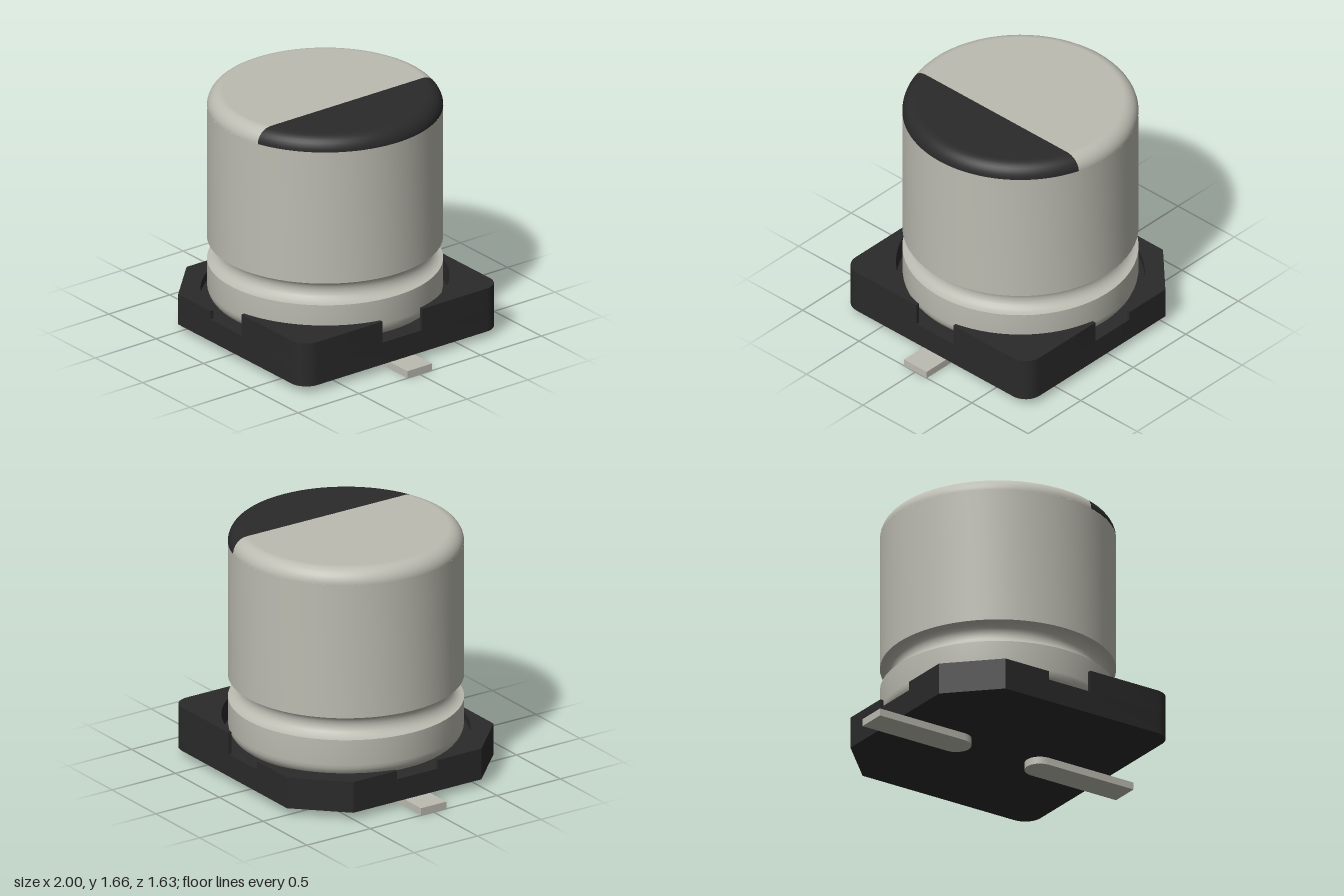
import * as THREE from 'three';
import { toCreasedNormals } from 'three/addons/utils/BufferGeometryUtils.js';
import { ParametricGeometry } from 'three/addons/geometries/ParametricGeometry.js';

const SILVER = new THREE.MeshStandardMaterial({ color: 0xbdbcb2 });
const DARK = new THREE.MeshStandardMaterial({ color: 0x2a2a2a });

const R = 0.767, FILLET = 0.1, TOP = 1.665;   // can
const HALF = 0.815, CHAMFER = 0.31, CORNER = 0.12; // base outline
const FLOOR = 0.205, HOLE = 0.808, NOTCH = 0.163;  // base recess
const MARK_X = 0.23;                           // edge of the polarity mark

function add(parent, name, geometry, material) {
  const mesh = new THREE.Mesh(geometry, material);
  mesh.name = name;
  parent.add(mesh);
}

// Points on an arc, angles in radians
function arc(cx, cy, r, from, to, steps) {
  return Array.from({ length: steps + 1 }, (_, i) => {
    const a = from + (to - from) * i / steps;
    return new THREE.Vector2(cx + r * Math.cos(a), cy + r * Math.sin(a));
  });
}

// Flat plan (x, z) raised from y0 to y1
function slab(points, y0, y1) {
  const g = new THREE.ExtrudeGeometry(new THREE.Shape(points), { depth: y1 - y0, bevelEnabled: false });
  g.rotateX(-Math.PI / 2);
  g.translate(0, y0, 0);
  return toCreasedNormals(g, 0.6);
}

// Outer corner in the first quadrant: rounded or chamfered
function corner(rounded) {
  return rounded
    ? arc(HALF - CORNER, HALF - CORNER, CORNER, 0, Math.PI / 2, 8)
    : [new THREE.Vector2(HALF, HALF - CHAMFER), new THREE.Vector2(HALF - CHAMFER, HALF)];
}
const flip = (points, sx, sz) => points.map(p => new THREE.Vector2(p.x * sx, p.y * sz));

function createBase() {
  const base = new THREE.Group();
  base.name = 'base';
  const outline = [
    ...corner(true),
    ...flip(corner(false), -1, 1).reverse(),
    ...flip(corner(false), -1, -1),
    ...flip(corner(true), 1, -1).reverse(),
  ];
  add(base, 'basePlate', slab(outline, 0.05, FLOOR), DARK);

  // Four corner walls around the round recess; taller on the rounded side
  const a = Math.asin(NOTCH / HOLE);
  for (const sx of [1, -1]) for (const sz of [1, -1]) {
    const plan = [
      new THREE.Vector2(HALF, NOTCH),
      ...corner(sx > 0),
      new THREE.Vector2(NOTCH, HALF),
      ...arc(0, 0, HOLE, Math.PI / 2 - a, a, 16),
    ];
    add(base, 'cornerWall', slab(flip(plan, sx, sz), FLOOR, sx > 0 ? 0.355 : 0.265), DARK);
  }
  return base;
}

// One side of the can top, split along x = MARK_X: rounded rim and flat face
function addTop(parent, name, material, marked) {
  const range = r => {
    const a = Math.acos(MARK_X / r);
    return marked ? [-a, a] : [a, 2 * Math.PI - a];
  };
  const onArc = (u, r, y, target) => {
    const [from, to] = range(r);
    const t = from + (to - from) * u;
    return target.set(r * Math.cos(t), y, -r * Math.sin(t));
  };
  const rIn = R - FILLET;
  const rim = (u, v, target) => {
    const t = v * Math.PI / 2;
    onArc(u, rIn + FILLET * Math.cos(t), TOP - FILLET + FILLET * Math.sin(t), target);
  };
  const start = onArc(0, rIn, TOP, new THREE.Vector3());
  const end = onArc(1, rIn, TOP, new THREE.Vector3());
  const chord = new THREE.Vector3();
  const face = (u, v, target) => {
    chord.lerpVectors(start, end, u);
    onArc(u, rIn, TOP, target).lerp(chord, v);
  };
  add(parent, name + 'Rim', new ParametricGeometry(rim, 40, 8), material);
  add(parent, name + 'Face', new ParametricGeometry(face, 40, 1), material);
}

function createCan() {
  const can = new THREE.Group();
  can.name = 'can';
  // Rounded foot, crimp groove and straight wall
  const profile = [
    new THREE.Vector2(0.001, FLOOR),
    ...arc(R - FILLET, FLOOR + FILLET, FILLET, -Math.PI / 2, 0, 6),
    ...arc(R, 0.557, 0.077, 1.5 * Math.PI, Math.PI / 2, 10),
    new THREE.Vector2(R, TOP - FILLET),
  ];
  add(can, 'canBody', toCreasedNormals(new THREE.LatheGeometry(profile, 64), 0.7), SILVER);
  addTop(can, 'canTop', SILVER, false);
  addTop(can, 'polarityMark', DARK, true);
  return can;
}

export function createModel() {
  const model = new THREE.Group();
  model.name = 'capacitor';
  model.add(createBase(), createCan());

  // Flat leads with a rounded inner end
  const lead = [
    new THREE.Vector2(1, -0.1),
    new THREE.Vector2(1, 0.1),
    ...arc(MARK_X + 0.1, 0, 0.1, Math.PI / 2, 1.5 * Math.PI, 12),
  ];
  add(model, 'leftLead', slab(lead, 0, 0.05), SILVER);
  add(model, 'rightLead', slab(flip(lead, -1, 1), 0, 0.05), SILVER);
  return model;
}
